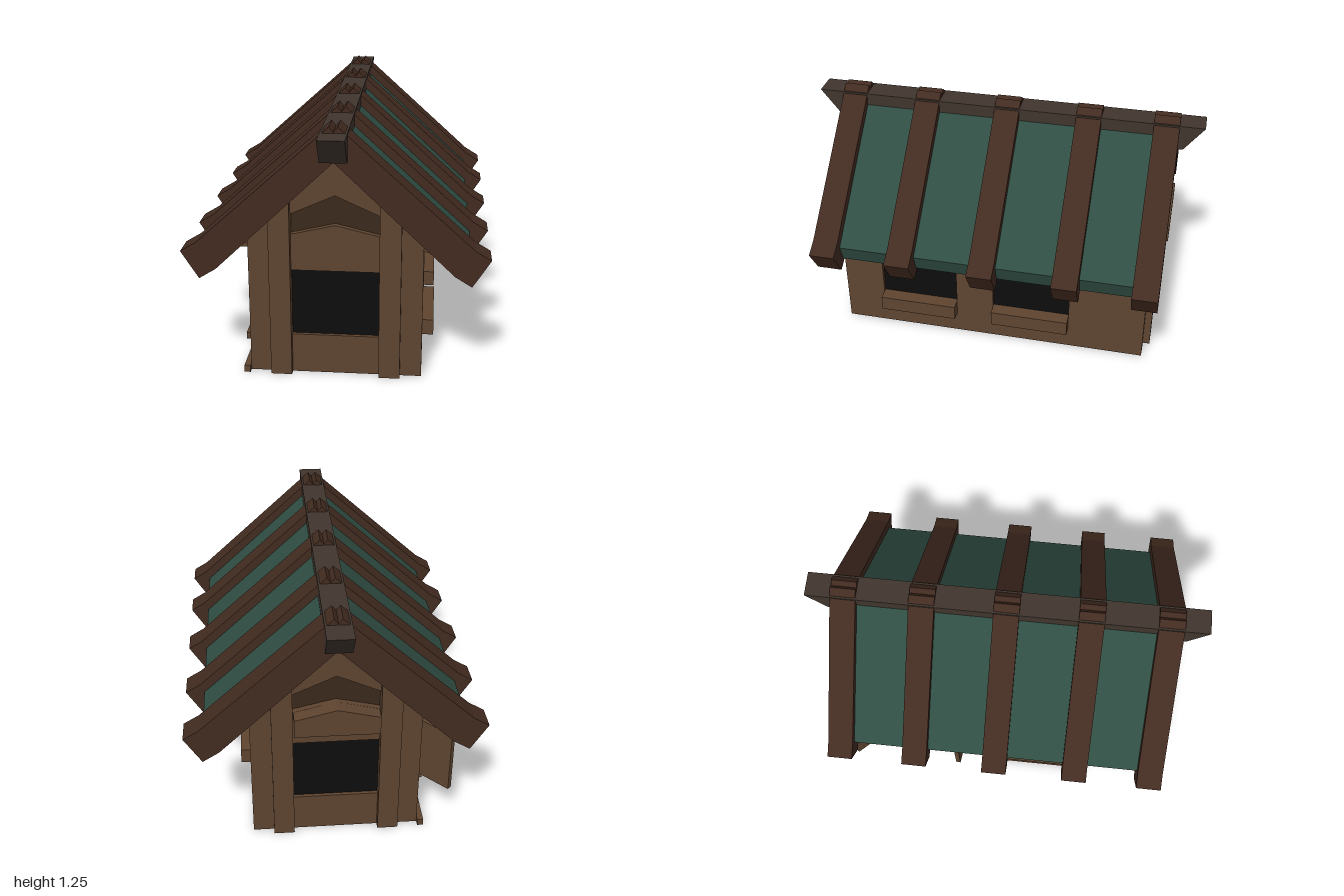
import * as THREE from 'three';

const mat = (color) => new THREE.MeshStandardMaterial({ color, side: THREE.DoubleSide, flatShading: true });
const wood = mat(0x5e4430), darkWood = mat(0x3a291b), rafterWood = mat(0x422b20);
const green = mat(0x2f4d43), ridgeWood = mat(0x40352e), black = mat(0x0d0d0d);

const T = 0.03; // wall thickness
const HALF = 0.415; // half width of the house
const FRONT = 0.82, BACK = -0.81;
const eaveY = (x) => 1.1 - 0.95 * Math.abs(x); // underside of the roof

const path = (pts) => pts.map(([x, y]) => new THREE.Vector2(x, y));
const shapeOf = (pts, holes = []) => {
  const s = new THREE.Shape(path(pts));
  holes.forEach((h) => s.holes.push(new THREE.Path(path(h))));
  return s;
};
const rect = (a, b, c, d) => [[a, c], [b, c], [b, d], [a, d]];

export function createModel() {
  const root = new THREE.Group();

  const add = (name, geo, material) => {
    const m = new THREE.Mesh(geo, material);
    m.name = name;
    root.add(m);
    return m;
  };
  const box = (name, x0, x1, y0, y1, z0, z1, material = wood) => {
    const g = new THREE.BoxGeometry(x1 - x0, y1 - y0, z1 - z0);
    g.translate((x0 + x1) / 2, (y0 + y1) / 2, (z0 + z1) / 2);
    return add(name, g, material);
  };
  // Outline in x and y, pushed from z0 to z1
  const slab = (name, pts, z0, z1, material = wood, holes = []) => {
    const g = new THREE.ExtrudeGeometry(shapeOf(pts, holes), { depth: z1 - z0, bevelEnabled: false });
    g.translate(0, 0, z0);
    return add(name, g, material);
  };
  // Outline in z and y, pushed from x0 to x1
  const sideSlab = (name, pts, x0, x1, material, holes) => {
    const flipped = (p) => p.map(([z, y]) => [-z, y]);
    const g = new THREE.ExtrudeGeometry(shapeOf(flipped(pts), holes.map(flipped)), { depth: x1 - x0, bevelEnabled: false });
    g.rotateY(Math.PI / 2);
    g.translate(x0, 0, 0);
    return add(name, g, material);
  };

  // Gable walls with a window and a chevron vent
  const gable = [[-HALF, 0], [HALF, 0], [HALF, eaveY(HALF)], [0, eaveY(0)], [-HALF, eaveY(HALF)]];
  const vent = [[-0.21, 0.715], [0, 0.765], [0.21, 0.715], [0.21, 0.815], [0, 0.91], [-0.21, 0.815]];
  const gableWindow = rect(-0.21, 0.21, 0.2, 0.535);
  for (const [label, outer, s] of [['front', FRONT, 1], ['back', BACK, -1]]) {
    const span = (a, b) => [Math.min(outer + s * a, outer + s * b), Math.max(outer + s * a, outer + s * b)];
    slab(label + 'Wall', gable, ...span(-T, 0), wood, [vent, gableWindow]);
    slab(label + 'Vent', vent, ...span(-0.045, -0.03), darkWood);
    slab(label + 'Window', gableWindow, ...span(-0.028, -0.018), black);
    // Raised posts either side of the window
    for (const k of [-1, 1]) {
      slab(label + 'Post', [[k * 0.21, 0], [k * 0.312, 0], [k * 0.312, eaveY(0.312)], [k * 0.21, eaveY(0.21)]], ...span(0, 0.035));
    }
  }
  // Header board on the back gable
  slab('backHeader', [[-0.205, 0.62], [0.205, 0.62], [0.205, 0.715], [0, 0.765], [-0.205, 0.715]], -0.88, BACK);

  // Side walls, windows and door
  const wallTop = eaveY(HALF);
  const sideOutline = rect(BACK, FRONT, 0, wallTop);
  const openingsLeft = [rect(0.2, 0.61, 0.2, 0.535), rect(-0.41, 0, 0.2, 0.535)];
  const openingsRight = [rect(-0.61, -0.2, 0.2, 0.535), rect(0.05, 0.45, 0.04, 0.535)];
  sideSlab('leftWall', sideOutline, HALF - T, HALF, wood, openingsLeft);
  sideSlab('rightWall', sideOutline, -HALF, -HALF + T, wood, openingsRight);
  for (const z of [0.405, -0.205]) {
    box('leftWindow', HALF - 0.028, HALF - 0.018, 0.2, 0.535, z - 0.205, z + 0.205, black);
    box('leftSill', HALF, 0.47, 0.12, 0.2, z - 0.205, z + 0.205);
  }
  box('rightWindow', -HALF + 0.018, -HALF + 0.028, 0.2, 0.535, -0.61, -0.2, black);
  box('rightSill', -0.47, -HALF, 0.12, 0.2, -0.61, -0.2);
  box('door', -HALF + 0.015, -HALF + 0.028, 0.04, 0.535, 0.05, 0.45, darkWood);

  // Open shutters, each swung about its hinge
  for (const [hingeZ, endX, endZ] of [[-0.63, -0.575, -0.8], [-0.2, -0.585, -0.22]]) {
    const dx = endX + HALF, dz = endZ - hingeZ;
    const m = add('shutter', new THREE.BoxGeometry(Math.hypot(dx, dz), 0.335, 0.025), wood);
    m.position.set((endX - HALF) / 2, 0.3675, (endZ + hingeZ) / 2);
    m.rotation.y = Math.atan2(-dz, dx);
  }

  // Ledge and doorstep along the door side
  box('baseLedge', -0.445, -HALF, 0, 0.035, -0.84, 0.85);
  box('doorstep', -0.5, -0.445, 0, 0.035, 0, 0.5);

  // Roof panels, rafters and the brackets behind them, mirrored
  const panel = [[0, 1.215], [0.615, 0.65], [0.633, 0.635], [0.6, 0.545], [0.57, 0.56], [0, 1.1]];
  const rafter = [[0, 1.225], [0.02, 1.25], [0.65, 0.68], [0.725, 0.635], [0.64, 0.5], [0.56, 0.55], [0, 1.085]];
  for (const k of [-1, 1]) {
    const mirror = (pts) => pts.map(([x, y]) => [k * x, y]);
    slab('roofPanel', mirror(panel), -0.8, 0.8, green);
    for (const z of [-0.81, -0.42, 0, 0.42, 0.81]) {
      slab('rafter', mirror(rafter), z - 0.064, z + 0.064, rafterWood);
      const a = k * 0.38, b = k * 0.53, zc = z * 0.88;
      box('bracket', Math.min(a, b), Math.max(a, b), 0.64, 0.66, zc - 0.09, zc + 0.09);
    }
  }

  // Ridge beam with raked ends
  sideSlab('ridgeBeam', [[-0.9, 1.09], [0.9, 1.09], [1, 1.22], [-1, 1.22]], -0.063, 0.063, ridgeWood, []);

  return root;
}
